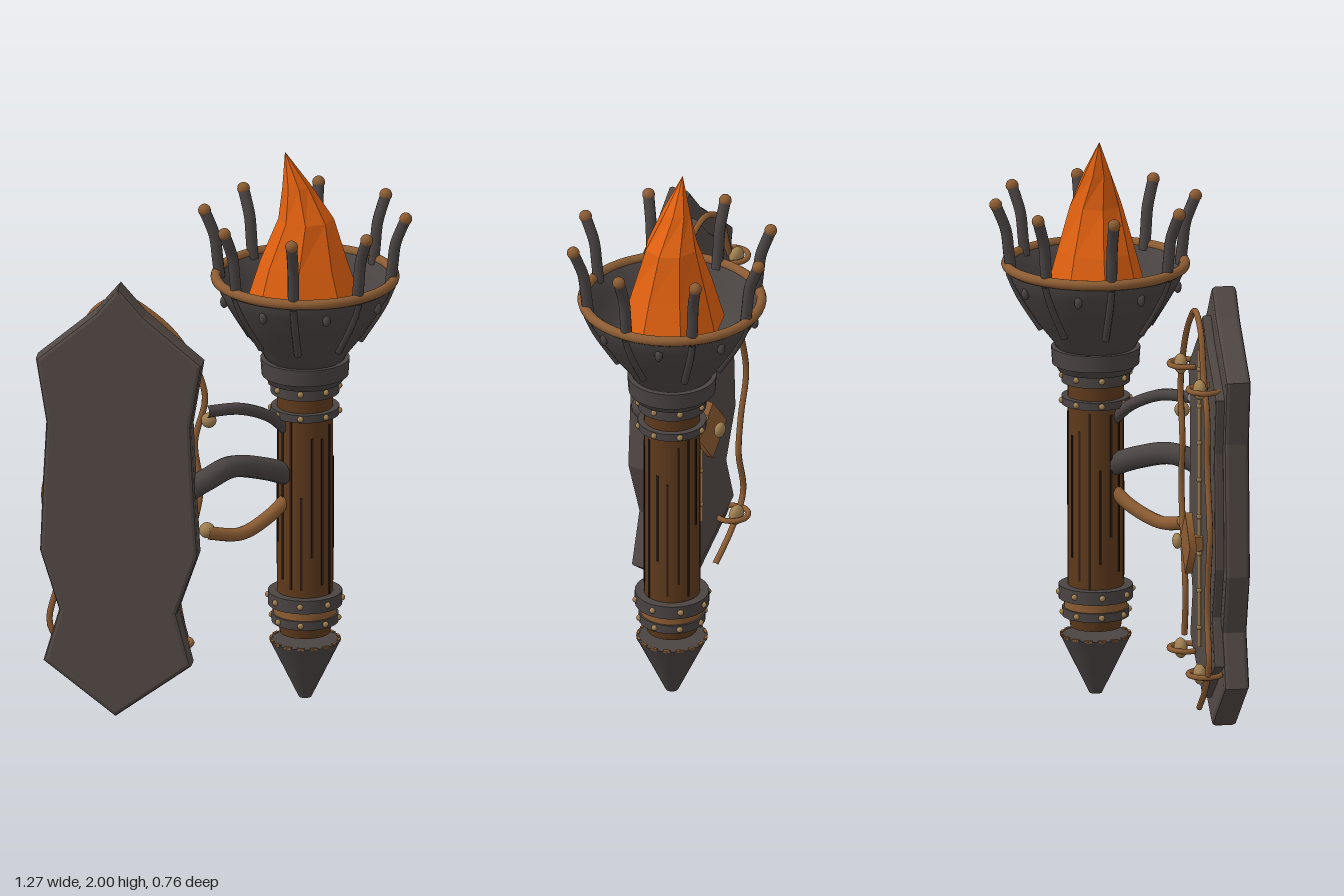
import * as THREE from 'three';

const mat = (name, color, opts = {}) => Object.assign(new THREE.MeshStandardMaterial({ color, ...opts }), { name });
const V = (x, y, z) => new THREE.Vector3(x, y, z);

export function createModel() {
  const M = {
    plate: mat('plate iron', 0x524945),
    iron: mat('dark iron', 0x4a4443),
    bronze: mat('bronze', 0x8c5c33),
    brass: mat('brass', 0xa08050),
    wood: mat('wood', 0x5e3a1c),
    groove: mat('dark wood', 0x2f1c0f),
    flame: mat('flame orange', 0xe06010, { flatShading: true }),
  };
  const root = new THREE.Group();
  const add = (parent, name, geo, material, x = 0, y = 0, z = 0) => {
    const m = new THREE.Mesh(geo, material);
    m.name = name;
    m.position.set(x, y, z);
    parent.add(m);
    return m;
  };
  const tube = (pts, r, n = 24, sides = 10) =>
    new THREE.TubeGeometry(new THREE.CatmullRomCurve3(pts), n, r, sides);
  const ball = (r) => new THREE.SphereGeometry(r, 14, 10);

  // Wall plate: one outline used for the thick back and the raised inner panel
  const outline = [[-0.346, 1.605], [-0.425, 1.51], [-0.637, 1.33], [-0.6, 1.1], [-0.612, 0.88], [-0.622, 0.625],
    [-0.555, 0.41], [-0.61, 0.22], [-0.357, 0.025], [-0.09, 0.22], [-0.14, 0.41], [-0.066, 0.625],
    [-0.08, 0.88], [-0.09, 1.1], [-0.052, 1.33], [-0.255, 1.5]];
  const slab = (sx, sy, depth, bevel) => {
    const shape = new THREE.Shape(outline.map(([x, y]) =>
      new THREE.Vector2(-0.345 + (x + 0.345) * sx, 0.815 + (y - 0.815) * sy)));
    const g = new THREE.ExtrudeGeometry(shape, {
      depth: depth - 2 * bevel, bevelThickness: bevel, bevelSize: bevel, bevelOffset: -bevel, bevelSegments: 2,
    });
    return g.translate(0, 0, bevel);
  };
  const wall = new THREE.Group();
  wall.name = 'wallPlate';
  root.add(wall);
  add(wall, 'backPlate', slab(1, 1, 0.09, 0.015), M.plate, 0, 0, 0.292);
  add(wall, 'innerPanel', slab(0.91, 0.87, 0.04, 0.008), M.plate, 0, 0, 0.26);

  // Wavy vine trim around the panel
  const vine = [[-0.135, 0.3], [-0.155, 0.45], [-0.11, 0.65], [-0.075, 0.83], [-0.095, 1.0], [-0.06, 1.18], [-0.14, 1.36],
    [-0.25, 1.47], [-0.35, 1.52], [-0.45, 1.47], [-0.51, 1.31], [-0.57, 1.2], [-0.575, 1.01], [-0.625, 0.78],
    [-0.59, 0.62], [-0.575, 0.48], [-0.605, 0.31], [-0.53, 0.2], [-0.42, 0.11]];
  add(wall, 'vineTrim', tube(vine.map(([x, y]) => V(x, y, 0.237)), 0.011, 120, 8), M.bronze);

  // Corner bosses with horizontal rings
  for (const x of [-0.53, -0.165]) for (const y of [1.285, 0.26]) {
    const ring = add(wall, 'bossRing', new THREE.TorusGeometry(0.058, 0.01, 8, 28), M.bronze, x, y, 0.237);
    ring.rotation.x = Math.PI / 2;
    add(wall, 'boss', ball(0.036), M.brass, x, y, 0.218).scale.z = 0.65;
  }

  // Centre rod, its beads, and the diamond badge
  add(wall, 'centreRod', new THREE.CylinderGeometry(0.007, 0.007, 1.07, 8), M.brass, -0.346, 0.845, 0.25);
  for (let i = 0; i < 8; i++) add(wall, 'rodBead', ball(0.01), M.brass, -0.346, 0.38 + i * 0.133, 0.25);
  const diamond = add(wall, 'diamond', new THREE.CylinderGeometry(1, 1, 0.025, 4), M.bronze, -0.346, 0.685, 0.213);
  diamond.rotation.x = Math.PI / 2;
  diamond.scale.set(0.092, 1, 0.11);
  add(wall, 'rodSpacer', new THREE.BoxGeometry(0.05, 0.05, 0.04), M.bronze, -0.346, 0.685, 0.24);
  add(wall, 'diamondBoss', ball(0.028), M.brass, -0.346, 0.695, 0.172).scale.z = 0.6;

  // Bracket arms from the plate to the shaft
  const arms = new THREE.Group();
  arms.name = 'bracket';
  root.add(arms);
  add(arms, 'upperArm', tube([V(0.2, 1.0, 0.05), V(0.15, 1.06, 0.1), V(0.06, 1.115, 0.19), V(-0.05, 1.13, 0.28)], 0.021), M.iron);
  add(arms, 'middleArm', tube([V(0.21, 0.83, 0.04), V(0.13, 0.875, 0.12), V(0.03, 0.91, 0.22),
    V(-0.04, 0.89, 0.3), V(-0.1, 0.86, 0.335)], 0.04), M.iron);
  add(arms, 'lowerArm', tube([V(0.2, 0.74, 0.05), V(0.15, 0.695, 0.1), V(0.06, 0.655, 0.19), V(-0.05, 0.68, 0.27)], 0.024), M.bronze);
  add(arms, 'upperArmBall', ball(0.027), M.brass, -0.045, 1.087, 0.245);
  add(arms, 'lowerArmBall', ball(0.028), M.brass, -0.05, 0.685, 0.255);

  // Torch, centred on its own axis
  const torch = new THREE.Group();
  torch.name = 'torch';
  torch.position.set(0.26, 0, -0.005);
  root.add(torch);
  const cyl = (name, rTop, rBot, y0, y1, m) =>
    add(torch, name, new THREE.CylinderGeometry(rTop, rBot, y1 - y0, 32), m, 0, (y0 + y1) / 2, 0);
  const radial = (n, fn, offset = 0) => {
    for (let i = 0; i < n; i++) {
      const g = new THREE.Group();
      g.rotation.y = ((i + offset) / n) * Math.PI * 2;
      torch.add(g);
      fn(g, i);
    }
  };

  cyl('shaft', 0.098, 0.098, 0.3, 1.18, M.wood);
  cyl('shaftFoot', 0.098, 0.088, 0.24, 0.3, M.wood);
  cyl('tip', 0.125, 0.022, 0, 0.212, M.iron);
  cyl('lowerBand', 0.13, 0.13, 0.345, 0.393, M.iron);
  cyl('lowerBandNeck', 0.11, 0.11, 0.3, 0.35, M.bronze);
  cyl('footBand', 0.117, 0.117, 0.28, 0.312, M.iron);
  cyl('gripBand', 0.12, 0.12, 1.045, 1.073, M.iron);
  cyl('neckBand', 0.12, 0.12, 1.125, 1.172, M.iron);
  cyl('collarBase', 0.148, 0.13, 1.165, 1.195, M.iron);
  cyl('collar', 0.156, 0.152, 1.19, 1.25, M.iron);

  // Grooves between the shaft planks, in staggered lengths
  radial(16, (g, i) => {
    const len = 0.34 + 0.1 * ((i * 5) % 4);
    const y = 0.42 + len / 2 + (0.6 - len) * ((i * 3) % 5) / 4;
    add(g, 'plankGroove', new THREE.BoxGeometry(0.008, len, 0.008), M.groove, 0, y, 0.0965);
  });

  // Studs on the bands and around the tip
  radial(8, (g) => {
    for (const [y, r] of [[0.37, 0.13], [0.296, 0.117], [1.059, 0.12], [1.15, 0.12]])
      add(g, 'bandStud', ball(0.011), M.brass, 0, y, r);
  });
  radial(16, (g) => add(g, 'tipTrim', new THREE.BoxGeometry(0.025, 0.008, 0.01), M.bronze, 0, 0.212, 0.119));

  // Fire cup, open at the top
  const cup = [[0, 1.24], [0.135, 1.24], [0.148, 1.27], [0.2, 1.335], [0.25, 1.41], [0.29, 1.48], [0.318, 1.545],
    [0.295, 1.545], [0.265, 1.475], [0.225, 1.41], [0.17, 1.36], [0, 1.35]];
  add(torch, 'cup', new THREE.LatheGeometry(cup.map(([r, y]) => new THREE.Vector2(r, y)), 48), M.iron);
  add(torch, 'cupRim', new THREE.TorusGeometry(0.312, 0.018, 10, 48), M.bronze, 0, 1.547, 0).rotation.x = Math.PI / 2;

  // Cup ribs and curved prongs with bronze tips
  radial(8, (g) => {
    add(g, 'cupRib', tube([V(0, 1.53, 0.308), V(0, 1.45, 0.273), V(0, 1.32, 0.192)], 0.013, 12, 8), M.iron);
    add(g, 'prong', tube([V(0, 1.53, 0.3), V(0, 1.6, 0.308), V(0, 1.68, 0.318), V(0, 1.735, 0.338), V(0, 1.772, 0.354)], 0.02, 18), M.iron);
    add(g, 'prongTip', ball(0.0225), M.bronze, 0, 1.774, 0.354);
  });
  radial(8, (g) => add(g, 'cupStud', ball(0.014), M.iron, 0, 1.478, 0.292).scale.set(1, 1.6, 1), 0.5);

  // Faceted flame: octagonal rings [y, centre x, radius x, radius z, twist] leaning to a point
  const rings = [[1.45, 0, 0.205, 0.178, 0], [1.6, -0.003, 0.155, 0.137, 0], [1.76, 0.004, 0.097, 0.093, 0.1],
    [1.88, -0.03, 0.05, 0.05, 0.3], [2, -0.07, 0.001, 0.001, 0.5]];
  const pos = [], idx = [], N = 8;
  rings.forEach(([y, cx, rx, rz, t], k) => {
    for (let i = 0; i < N; i++) {
      const a = (i / N) * Math.PI * 2 + t;
      pos.push(cx + Math.sin(a) * rx, y, Math.cos(a) * rz);
      if (k) {
        const j = (i + 1) % N, lo = (k - 1) * N, hi = k * N;
        idx.push(lo + i, lo + j, hi + j, lo + i, hi + j, hi + i);
      }
    }
  });
  for (let i = 1; i < N - 1; i++) idx.push(0, i + 1, i);
  const flame = new THREE.BufferGeometry();
  flame.setAttribute('position', new THREE.Float32BufferAttribute(pos, 3));
  flame.setIndex(idx);
  flame.computeVertexNormals();
  add(torch, 'flame', flame, M.flame);

  return root;
}
